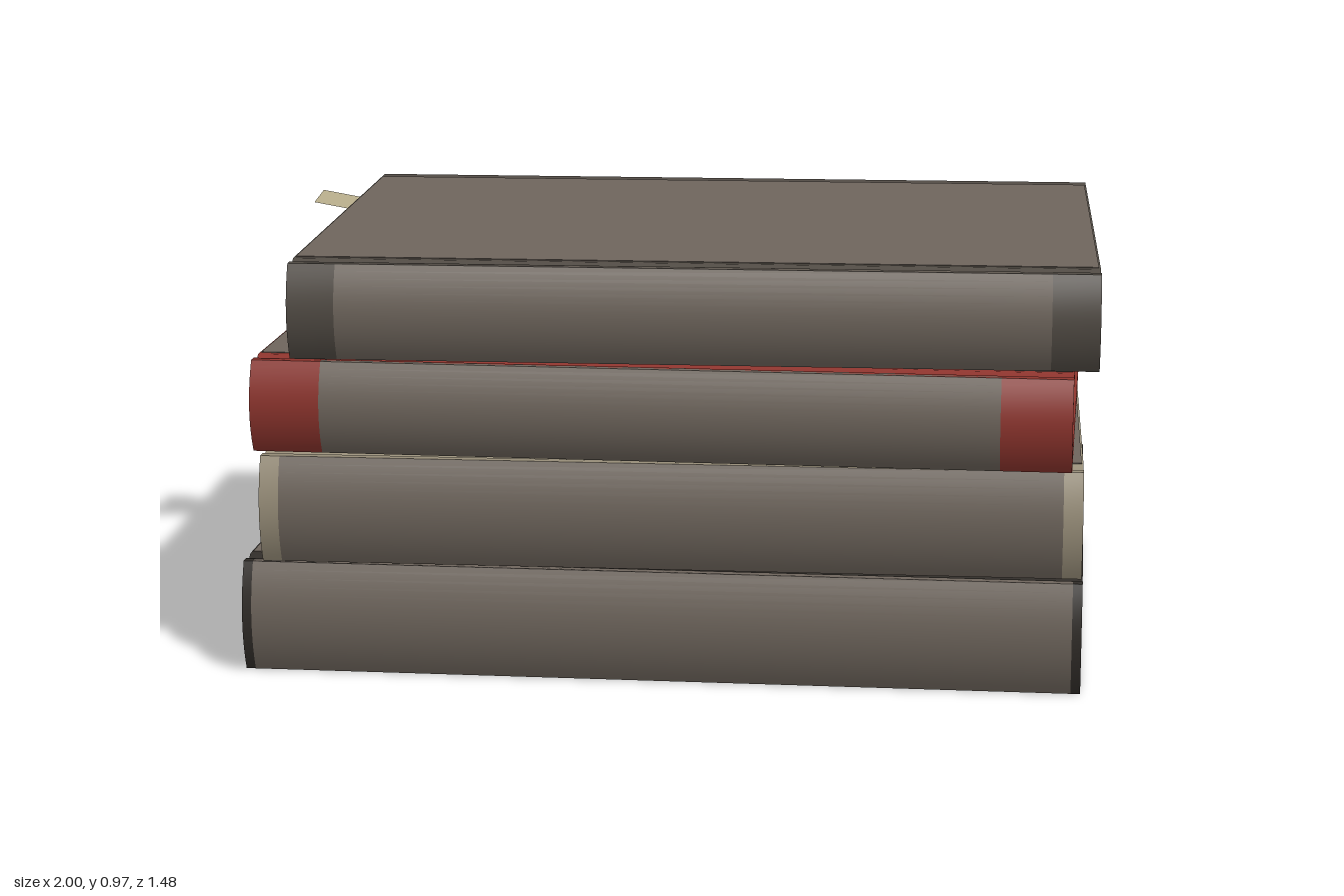
import * as THREE from 'three';
import { toCreasedNormals } from 'three/addons/utils/BufferGeometryUtils.js';

const paint = (color) => new THREE.MeshStandardMaterial({ color });
const PAGES = paint(0xb8ad96);
const PANEL = paint(0x6f665d);
const BOARD = 0.02; // cover thickness
const SKIN = 0.002; // how far the cover panel stands proud

// Bottom to top. w = length of the spine, d = depth from spine to fore-edge, band = spine end strips
const BOOKS = [
  { name: 'bottomBook', w: 1.95, d: 1.455, y: 0, h: 0.265, x: -0.005, z: 0.007, turn: 0, band: 0.022, color: 0x312d29 },
  { name: 'tanBook', w: 1.9, d: 1.44, y: 0.265, h: 0.255, x: 0.005, z: 0.003, turn: 0.018, band: 0.045, color: 0x9a907b },
  { name: 'redBook', w: 1.895, d: 1.43, y: 0.52, h: 0.22, x: 0, z: 0.005, turn: -0.011, band: 0.163, color: 0x8f352e },
  { name: 'topBook', w: 1.862, d: 1.395, y: 0.74, h: 0.228, x: 0.048, z: -0.016, turn: 0.027, band: 0.11, color: 0x524c45 },
];

function add(group, name, geometry, material) {
  const mesh = new THREE.Mesh(geometry, material);
  mesh.name = name;
  group.add(mesh);
  return mesh;
}

// Extrudes a (z, y) profile along x, centred on x = 0
function alongX(shape, length) {
  const g = new THREE.ExtrudeGeometry(shape, { depth: length, bevelEnabled: false, curveSegments: 14 });
  g.translate(0, 0, -length / 2).rotateY(-Math.PI / 2);
  return toCreasedNormals(g, 0.5);
}

// Cover board with a shallow hinge groove on its outer face
function boardShape(back, front) {
  const o = BOARD - SKIN;
  return new THREE.Shape([
    [back, 0], [front, 0], [front, o], [front - 0.025, o], [front - 0.04, o - 0.008],
    [front - 0.055, o - 0.008], [front - 0.07, o], [back, o],
  ].map(([z, y]) => new THREE.Vector2(z, y)));
}

// Page block, flat at the spine and hollow at the fore-edge
function pageShape(back, front, h) {
  const s = new THREE.Shape();
  s.moveTo(back, BOARD);
  s.lineTo(front, BOARD);
  s.lineTo(front, h - BOARD);
  s.lineTo(back, h - BOARD);
  s.quadraticCurveTo(back + 0.03, h / 2, back, BOARD);
  return s;
}

// Thin bowed shell joining the two boards
function spineShape(front, bulge, h) {
  const e = SKIN;
  const s = new THREE.Shape();
  s.moveTo(front - 0.02, e);
  s.lineTo(front, e);
  s.quadraticCurveTo(front + bulge * 2, h / 2, front, h - e);
  s.lineTo(front - 0.02, h - e);
  s.quadraticCurveTo(front - 0.016 + bulge * 2, h / 2, front - 0.02, e);
  return s;
}

function makeBook({ name, w, d, y, h, x, z, turn, band, color }) {
  const book = new THREE.Group();
  book.name = name;
  book.position.set(x, y, z);
  book.rotation.y = turn;
  const cover = paint(color);
  const back = -d / 2;
  const bulge = 0.032;
  const front = d / 2 - bulge;

  add(book, 'pages', alongX(pageShape(back + 0.03, front - 0.003, h), w - 0.05), PAGES);

  // Boards with their coloured panels
  const board = alongX(boardShape(back, front), w);
  const panelBack = back + 0.055;
  const panelFront = front - 0.085;
  for (const top of [true, false]) {
    const side = new THREE.Group();
    side.name = top ? 'topCover' : 'bottomCover';
    add(side, 'board', board, cover);
    add(side, 'coverPanel', new THREE.BoxGeometry(w - 0.008, 0.004, panelFront - panelBack), PANEL)
      .position.set(0, BOARD - 0.002, (panelBack + panelFront) / 2);
    side.position.y = top ? h - BOARD : BOARD;
    if (!top) {
      // Half turn about z puts the outer face downwards
      side.rotation.z = Math.PI;
    }
    book.add(side);
  }

  // Spine: end strips in the cover colour, a panel between them
  const spine = spineShape(front, bulge, h);
  add(book, 'spinePanel', alongX(spine, w - 2 * band), PANEL);
  const strip = alongX(spine, band);
  for (const s of [-1, 1]) add(book, 'spineBand', strip, cover).position.x = (s * (w - band)) / 2;
  return book;
}

// Paper strip lifting gently as it leaves the pages
function makeBookmark() {
  const g = new THREE.PlaneGeometry(0.3, 0.2, 10, 1).rotateX(-Math.PI / 2);
  const p = g.attributes.position;
  for (let i = 0; i < p.count; i++) {
    const out = Math.max(0, -p.getX(i) - 0.02);
    p.setY(i, out * 0.19);
  }
  g.computeVertexNormals();
  const mark = new THREE.Mesh(g, new THREE.MeshStandardMaterial({ color: 0xb8ad8c, side: THREE.DoubleSide }));
  mark.name = 'bookmark';
  mark.position.set(-0.842, 0.946, -0.285);
  mark.rotation.y = 0.09;
  return mark;
}

export function createModel() {
  const model = new THREE.Group();
  model.name = 'bookStack';
  for (const b of BOOKS) model.add(makeBook(b));
  model.add(makeBookmark());
  return model;
}
